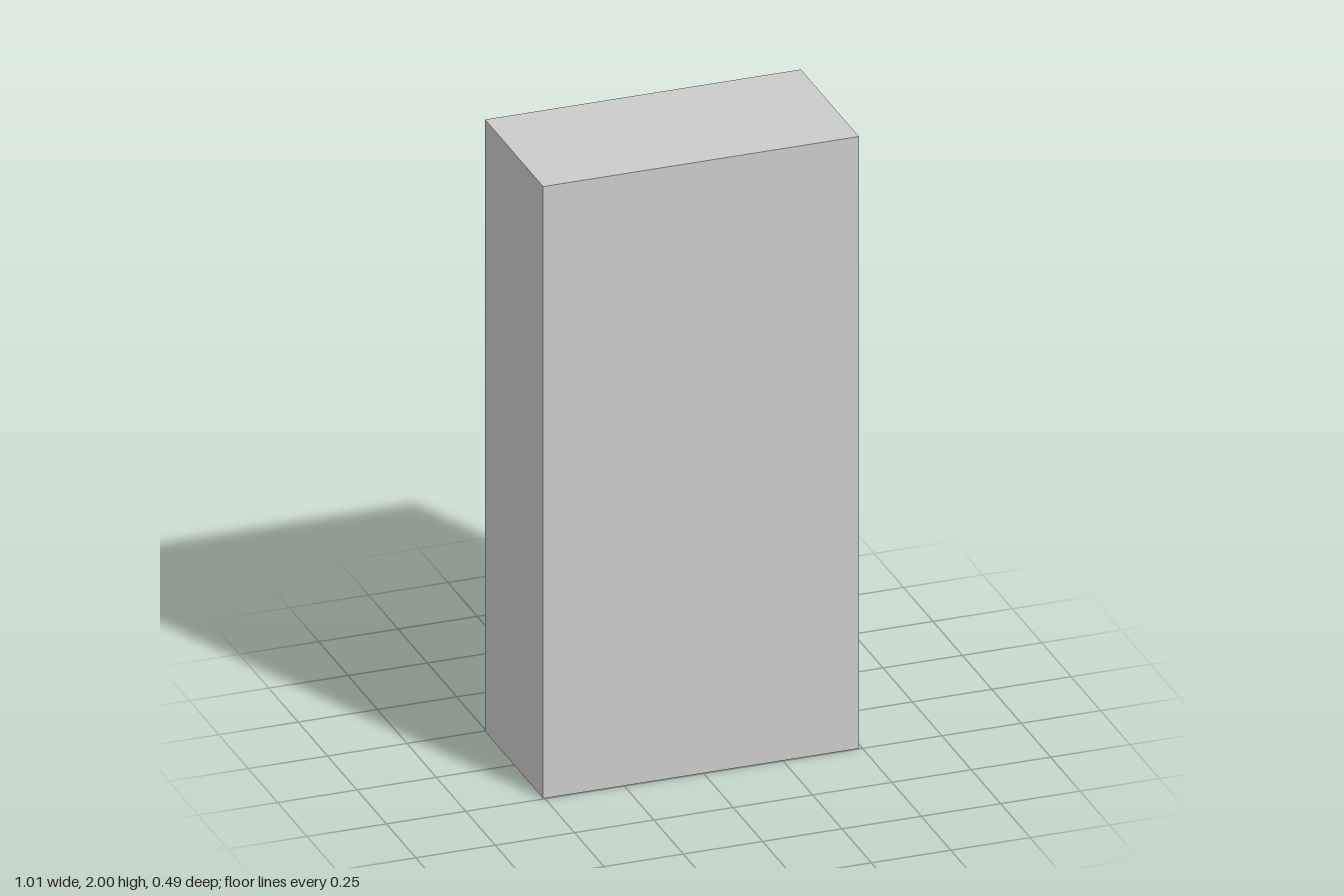
import * as THREE from 'three';

const BACK = -0.505, FRONT = 0.49;   // body extent along x
const DOOR_X = 0.481;                // outer face of the door
const DOOR_T = 0.022;                // door thickness
const SLOT_W = 0.34, SLOT_H = 0.043, PITCH = 0.0745;

// Trace a centred rectangle (w across, from y0 to y1) onto a shape or hole path.
function rect(path, w, y0, y1) {
  path.moveTo(-w / 2, y0);
  path.lineTo(w / 2, y0);
  path.lineTo(w / 2, y1);
  path.lineTo(-w / 2, y1);
  path.closePath();
  return path;
}

// Extrude a shape drawn in the z-y plane along +x, starting at x0.
function extrudeX(shape, x0, depth) {
  const g = new THREE.ExtrudeGeometry(shape, { depth, bevelEnabled: false });
  return g.rotateY(Math.PI / 2).translate(x0, 0, 0);
}

export function createModel() {
  const root = new THREE.Group();
  root.name = 'locker';
  const metal = new THREE.MeshStandardMaterial({ color: 0xcccccc });
  const dark = new THREE.MeshStandardMaterial({ color: 0x4c5863 });

  const add = (name, geometry, material = metal, parent = root) => {
    const mesh = new THREE.Mesh(geometry, material);
    mesh.name = name;
    parent.add(mesh);
    return mesh;
  };

  // Outer shell: a thin-walled tube whose open end forms the door rim
  const shell = rect(new THREE.Shape(), 0.494, 0, 2);
  shell.holes.push(rect(new THREE.Path(), 0.474, 0.01, 1.99));
  add('shell', extrudeX(shell, BACK, FRONT - BACK));

  // Back wall closing the shell
  add('backPanel', extrudeX(rect(new THREE.Shape(), 0.474, 0.01, 1.99), BACK, 0.01));

  // Door panel with two rows of five ventilation slots
  const door = new THREE.Group();
  door.name = 'door';
  root.add(door);
  const panel = rect(new THREE.Shape(), 0.468, 0.013, 1.987);
  const slots = [];
  for (let i = 0; i < 5; i++) {
    slots.push({ y: 1.555 + i * PITCH, upper: true });
    slots.push({ y: 0.11 + i * PITCH, upper: false });
  }
  for (const { y } of slots) panel.holes.push(rect(new THREE.Path(), SLOT_W, y, y + SLOT_H));
  add('doorPanel', extrudeX(panel, DOOR_X - DOOR_T, DOOR_T), metal, door);

  // Sloping louvers: the upper row faces down, the lower row faces up
  for (const { y, upper } of slots) {
    const top = y + SLOT_H;
    const wedge = new THREE.Shape();
    wedge.moveTo(0, upper ? top : y);
    wedge.lineTo(-DOOR_T, top);
    wedge.lineTo(-DOOR_T, y);
    wedge.closePath();
    const g = new THREE.ExtrudeGeometry(wedge, { depth: SLOT_W, bevelEnabled: false });
    g.translate(DOOR_X, 0, -SLOT_W / 2);
    add(upper ? 'upperLouver' : 'lowerLouver', g, metal, door);
  }

  // Round lock with a slightly chamfered face and a key slot
  const lock = new THREE.Group();
  lock.name = 'lock';
  lock.position.set(DOOR_X, 1.193, 0.125);
  door.add(lock);
  const barrel = new THREE.CylinderGeometry(0.035, 0.035, 0.019, 32);
  add('lockBarrel', barrel.rotateZ(-Math.PI / 2).translate(0.0095, 0, 0), dark, lock);
  const chamfer = new THREE.CylinderGeometry(0.03, 0.035, 0.004, 32);
  add('lockFace', chamfer.rotateZ(-Math.PI / 2).translate(0.021, 0, 0), dark, lock);
  add('keySlot', new THREE.BoxGeometry(0.002, 0.042, 0.007).translate(0.023, 0, 0), metal, lock);

  return root;
}
